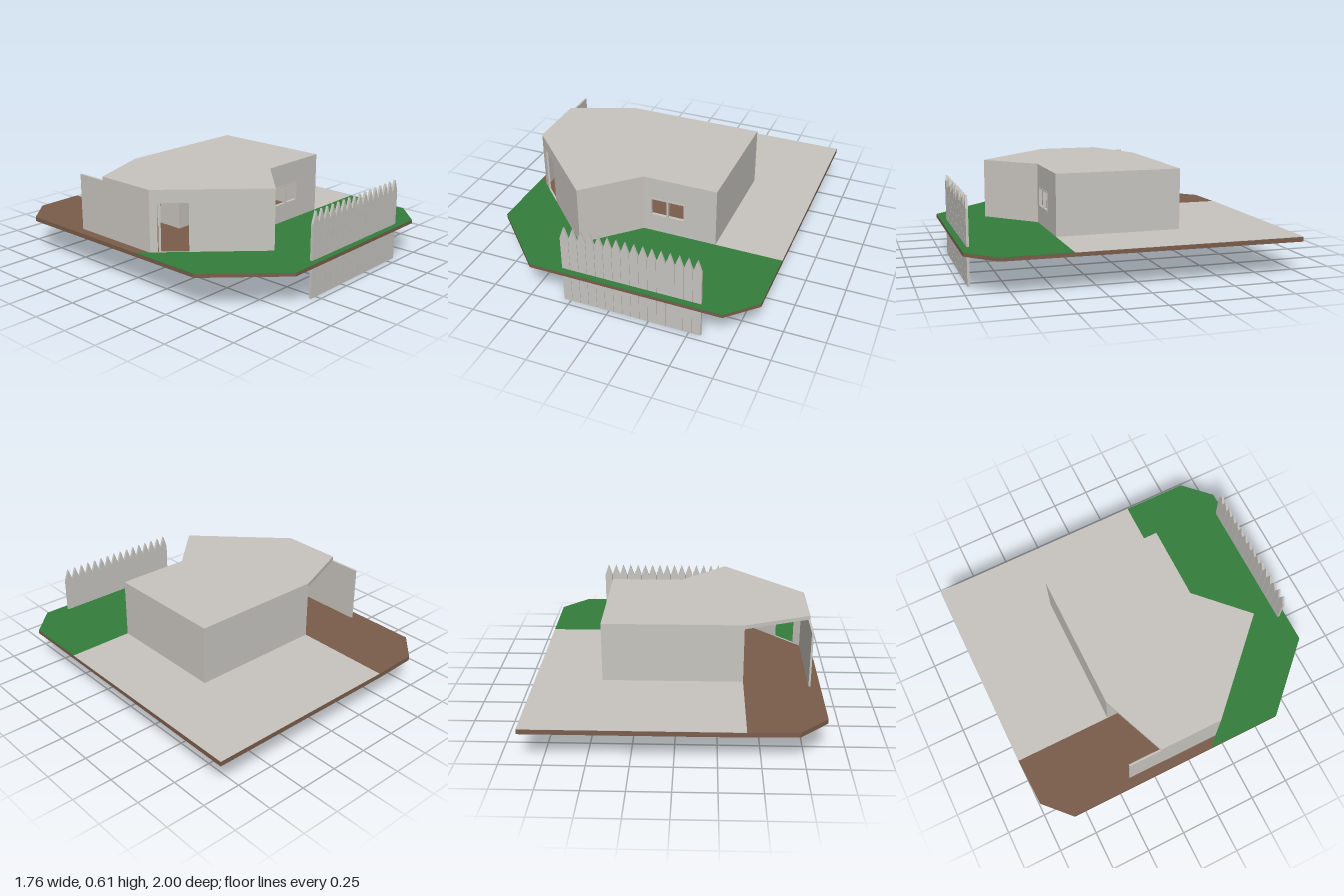
import * as THREE from 'three';

const GROUND = 0.23, EAVES = 0.585, TOP = 0.61, WALL = 0.012;

const mat = (name, color) => {
  const m = new THREE.MeshStandardMaterial({ color });
  m.name = name;
  return m;
};

export function createModel() {
  const concrete = mat('concrete grey', 0xc8c5c0);
  const earth = mat('earth brown', 0x7b5d4a);
  const grass = mat('grass green', 0x347d3b);
  const model = new THREE.Group();
  model.name = 'houseOnPlot';

  const add = (parent, name, geometry, material) => {
    const mesh = new THREE.Mesh(geometry, material);
    mesh.name = name;
    parent.add(mesh);
    return mesh;
  };
  const extrude = (shape, depth) => new THREE.ExtrudeGeometry(shape, { depth, bevelEnabled: false });
  const outline = (pts) => new THREE.Shape(pts.map(([x, y]) => new THREE.Vector2(x, y)));

  // Horizontal plate from an [x, z] outline
  const plate = (pts, y0, y1) =>
    extrude(outline(pts.map(([x, z]) => [x, -z])), y1 - y0).rotateX(-Math.PI / 2).translate(0, y0, 0);

  // Plot of earth, its underside dropping slightly to the back
  const plot = plate([[-0.88, -0.83], [-0.71, -0.99], [-0.41, -1], [0.88, -1],
    [0.88, 0.83], [0.71, 1], [-0.49, 1], [-0.88, 0.6]], 0.2, GROUND);
  const p = plot.attributes.position;
  for (let i = 0; i < p.count; i++) {
    if (p.getY(i) < 0.21) p.setY(i, 0.2 + 0.005 * (p.getZ(i) + 1));
  }
  plot.computeVertexNormals();
  add(model, 'plot', plot, earth);

  // Lawn and paving laid on the plot; the room floor stays bare earth
  add(model, 'lawn', plate([[-0.88, 0.13], [-0.31, 0.7], [-0.01, 0.41], [0.88, 0.41],
    [0.88, 0.83], [0.71, 1], [-0.49, 1], [-0.88, 0.6]], GROUND - 0.001, GROUND + 0.002), grass);
  add(model, 'paving', plate([[-0.41, -1], [0.88, -1], [0.88, 0.41], [0.46, 0.41],
    [0.46, 0.015], [-0.41, 0.015]], GROUND - 0.001, GROUND + 0.002), concrete);

  const house = new THREE.Group();
  house.name = 'house';
  model.add(house);

  // Upright panel between two [x, z] points, outer face on the line; panel holds local [u, y] outlines
  const upright = (name, [ax, az], [bx, bz], shape, depth = WALL, out = 0) => {
    const g = extrude(shape, depth).translate(0, 0, out - depth);
    const mesh = add(house, name, g, concrete);
    mesh.rotation.y = Math.atan2(az - bz, bx - ax);
    mesh.position.set(ax, 0, az);
  };
  const rect = (u0, y0, u1, y1) => [[u0, y0], [u1, y0], [u1, y1], [u0, y1]];
  const wall = (name, a, b, hole) => {
    const length = Math.hypot(b[0] - a[0], b[1] - a[1]);
    const shape = outline(rect(0, GROUND, length, EAVES));
    if (hole) shape.holes.push(outline(rect(...hole)));
    upright(name, a, b, shape);
  };

  // Walls; the rear corner on the right side is left open
  const west = [-0.82, 0.19], tip = [-0.31, 0.7], notch = [-0.01, 0.41], east = [0.46, 0.41];
  wall('sideWall', [-0.82, -0.42], west);
  wall('entranceWall', west, tip, [0.045, GROUND + 0.001, 0.226, 0.53]);
  wall('returnWall', tip, notch);
  wall('windowWall', notch, east, [0.04, 0.345, 0.275, 0.47]);
  wall('eastWall', east, [0.46, -0.375]);
  wall('backWall', [0.46, -0.375], [-0.41, -0.375]);
  wall('porchWall', [-0.41, -0.375], [-0.41, 0.015]);
  wall('innerWall', [-0.41, 0.015], [0.448, 0.015]);

  // Door post and window frame
  upright('doorPost', west, tip, outline(rect(0.05, GROUND, 0.064, 0.53)));
  for (const u of [0.04, 0.15, 0.263]) {
    upright('windowBar', notch, east, outline(rect(u, 0.345, u + 0.012, 0.47)), 0.02, 0.003);
  }
  for (const y of [0.345, 0.462]) {
    upright('windowRail', notch, east, outline(rect(0.04, y, 0.275, y + 0.008)), 0.02, 0.003);
  }

  // Flat roof
  add(house, 'roof', plate([[-0.82, -0.21], [-0.41, -0.375], [0.46, -0.375], east, notch, tip, west],
    EAVES, TOP), concrete);

  // Picket fence
  const fence = new THREE.Group();
  fence.name = 'fence';
  model.add(fence);
  const count = 16, pitch = 0.0543, half = 0.0262;
  const picket = extrude(outline([[-half, 0], [half, 0], [half, 0.45], [0, 0.525], [-half, 0.45]]), 0.015);
  for (let i = 0; i < count; i++) {
    add(fence, 'picket', picket, concrete).position.set(-0.268 + i * pitch, 0, 0.945);
  }
  return model;
}
